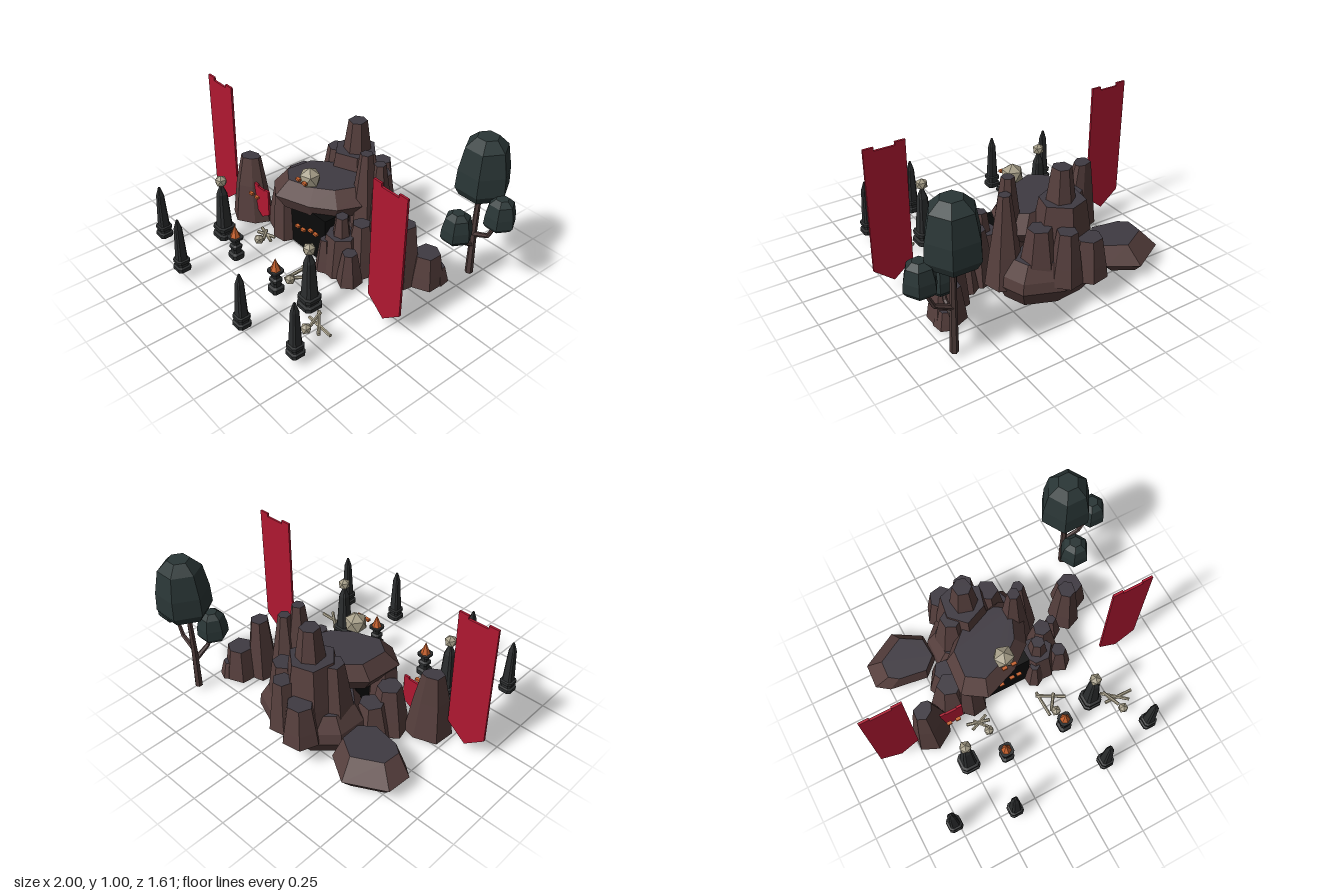
import * as THREE from 'three';

const paint = (color) => new THREE.MeshStandardMaterial({ color, flatShading: true });
const rock = paint(0x563f3d), rockTop = paint(0x3f3a42), rockBase = paint(0x6a6a6a), stone = paint(0x2b2d2e);
const bone = paint(0xa69e88), orange = paint(0xc8622e), red = paint(0xb01831), leaf = paint(0x2a3636);
const black = paint(0x0b0b0b), bark = paint(0x4c3a38);

let seed = 7;
const rand = () => (seed = (seed * 16807) % 2147483647) / 2147483647;

// Faceted solid: an outline [x, z] scaled at each level [y, scale, shiftX, shiftZ]; caps use their own material
function loft(outline, levels, sideMat, topMat = sideMat, bottomMat = sideMat) {
  const n = outline.length, pos = [], geo = new THREE.BufferGeometry();
  const rings = levels.map(([y, s, dx = 0, dz = 0]) => outline.map(([x, z]) => [x * s + dx, y, z * s + dz]));
  for (let l = 0; l < rings.length - 1; l++) {
    for (let i = 0; i < n; i++) {
      const j = (i + 1) % n, [a, b, c, d] = [rings[l][i], rings[l + 1][i], rings[l][j], rings[l + 1][j]];
      pos.push(...a, ...b, ...c, ...c, ...b, ...d);
    }
  }
  const sides = pos.length / 3, bottom = rings[0], top = rings[rings.length - 1];
  for (let i = 1; i < n - 1; i++) pos.push(...top[0], ...top[i + 1], ...top[i]);
  for (let i = 1; i < n - 1; i++) pos.push(...bottom[0], ...bottom[i], ...bottom[i + 1]);
  geo.setAttribute('position', new THREE.Float32BufferAttribute(pos, 3));
  geo.computeVertexNormals();
  geo.addGroup(0, sides, 0);
  geo.addGroup(sides, (n - 2) * 3, 1);
  geo.addGroup(sides + (n - 2) * 3, (n - 2) * 3, 2);
  return new THREE.Mesh(geo, [sideMat, topMat, bottomMat]);
}

// Slightly uneven polygon, or a regular one when wobble is 0
function ngon(n, rx, rz = rx, wobble = 0, turn = 0) {
  return Array.from({ length: n }, (_, i) => {
    const a = turn + ((i + (rand() - 0.5) * wobble * 2) / n) * Math.PI * 2, r = 1 - rand() * wobble;
    return [Math.cos(a) * rx * r, Math.sin(a) * rz * r];
  });
}

const chamferedSquare = (h, c = h * 0.35) => [
  [h, -h + c], [h, h - c], [h - c, h], [-h + c, h], [-h, h - c], [-h, -h + c], [-h + c, -h], [h - c, -h]];

export function createModel() {
  const model = new THREE.Group();
  const add = (mesh, name, x = 0, y = 0, z = 0, parent = model) => {
    mesh.name = name;
    mesh.position.set(x, y, z);
    parent.add(mesh);
    return mesh;
  };
  const rodBetween = (a, b, r0, r1, mat, name, parent) => {
    const from = new THREE.Vector3(...a), to = new THREE.Vector3(...b), dir = to.clone().sub(from);
    const rod = new THREE.Mesh(new THREE.CylinderGeometry(r1, r0, dir.length(), 6), mat);
    rod.quaternion.setFromUnitVectors(new THREE.Vector3(0, 1, 0), dir.normalize());
    const m = from.add(to).multiplyScalar(0.5);
    add(rod, name, m.x, m.y, m.z, parent);
  };
  const skull = (x, y, z, r, name, parent = model) => {
    const s = new THREE.Mesh(new THREE.IcosahedronGeometry(r, 0), bone);
    s.rotation.z = Math.atan(2 / (1 + Math.sqrt(5)));
    add(s, name, x, y, z, parent);
  };
  const eye = (x, y, z) => add(new THREE.Mesh(new THREE.BoxGeometry(0.032, 0.016, 0.02), orange), 'glowingEye', x, y, z);

  // Boulders: foundation, low rear boulder, and the overhanging roof of the cave
  add(loft(ngon(9, 0.37, 0.29, 0.06), [[0, 0.8, 0, 0.03], [0.13, 1], [0.2, 0.97], [0.3, 0.8]], rock, rockTop),
    'foundationBoulder', -0.07, 0, -0.37);
  const low = [[0.23, 0.08], [0.12, 0.18], [-0.13, 0.14], [-0.21, 0.08], [-0.2, -0.08], [0.04, -0.21], [0.22, -0.1]];
  add(loft(low, [[0.03, 0.7], [0.1, 1], [0.21, 0.72, 0.04, 0.04]], rock, rockTop), 'rearBoulder', -0.62, 0, -0.45);
  const roof = [[0.33, -0.2], [0.22, 0.06], [0.08, 0.17], [-0.15, 0.255], [-0.29, 0.16], [-0.27, -0.08], [-0.1, -0.24], [0.2, -0.28]];
  add(loft(roof, [[0.33, 0.8], [0.42, 1], [0.52, 0.74, -0.01, -0.02]], rock, rockTop), 'caveRoof', -0.1, 0, -0.12);

  // Rock columns: x, z, bottom, top, base radius, top radius
  const columns = [
    [-0.13, -0.43, 0.2, 0.615, 0.22, 0.15], [-0.12, -0.43, 0.55, 0.82, 0.1, 0.062],
    [0.14, -0.27, 0.1, 0.76, 0.13, 0.042], [0.2, -0.33, 0.1, 0.69, 0.13, 0.04],
    [-0.24, -0.37, 0.16, 0.6, 0.15, 0.07], [-0.2, -0.6, 0.16, 0.42, 0.13, 0.085],
    [-0.05, -0.59, 0.16, 0.5, 0.11, 0.065], [0.06, -0.48, 0.16, 0.5, 0.13, 0.075],
    [0.19, -0.04, 0.03, 0.3, 0.14, 0.1], [0.19, -0.04, 0.25, 0.43, 0.07, 0.045],
    [0.27, -0.13, 0.03, 0.38, 0.13, 0.06], [0.32, 0.01, 0.03, 0.25, 0.09, 0.05],
    [0.13, 0.04, 0.03, 0.26, 0.07, 0.035], [-0.42, -0.08, 0.03, 0.35, 0.14, 0.08],
    [-0.31, 0.0, 0.03, 0.4, 0.11, 0.085], [-0.39, -0.2, 0.03, 0.28, 0.14, 0.08],
    [0.52, -0.26, 0.03, 0.455, 0.11, 0.06], [0.61, -0.36, 0.03, 0.25, 0.12, 0.085],
    [0.38, -0.2, 0.03, 0.24, 0.075, 0.035], [0.65, -0.42, 0.03, 0.14, 0.08, 0.05],
  ];
  for (const [x, z, y0, y1, r0, r1] of columns) {
    const outline = ngon(6, 1, 1, 0.1, rand());
    const levels = [[y0, r0], [y0 + (y1 - y0) * 0.35, r0 * 0.68 + r1 * 0.32], [y1, r1]];
    add(loft(outline, levels, rock, rockTop, rockBase), 'rockColumn', x, 0, z);
  }
  const slab = [[0.13, -0.03], [0.09, 0.06], [-0.02, 0.13], [-0.13, 0.08], [-0.12, -0.06], [0.02, -0.11], [0.11, -0.09]];
  add(loft(slab, [[0.03, 1], [0.3, 0.73, -0.01], [0.495, 0.46, -0.02, -0.01]], rock, rockTop, rockBase), 'sideCrag', -0.62, 0, 0.05);

  // Dark cave mouth with pairs of eyes
  add(new THREE.Mesh(new THREE.BoxGeometry(0.34, 0.33, 0.2), black), 'caveMouth', -0.07, 0.195, -0.08);
  for (const [x, y] of [[-0.16, 0.185], [-0.105, 0.185], [-0.03, 0.222], [0.02, 0.222]]) eye(x, y, 0.03);

  // Large skull above the mouth
  skull(-0.07, 0.59, 0, 0.072, 'roofSkull');
  for (const x of [-0.1, -0.038]) eye(x, 0.592, 0.068);

  // Hanging banners with a notched top and pointed tip
  const cloth = (w, top, side, tip, notch) => {
    const h = w / 2, s = new THREE.Shape();
    [[-h, side], [0, tip], [h, side], [h, top], [h * 0.5, top], [h * 0.5, top - notch], [-h * 0.5, top - notch], [-h * 0.5, top], [-h, top]]
      .forEach(([x, y], i) => (i ? s.lineTo(x, y) : s.moveTo(x, y)));
    return new THREE.Mesh(new THREE.ExtrudeGeometry(s, { depth: 0.014, bevelEnabled: false }), red);
  };
  for (const x of [-0.87, 0.72]) add(cloth(0.26, 0.967, 0.165, 0.058, 0.022), 'banner', x, 0, 0.086);
  add(cloth(0.15, 0.335, 0.15, 0.1, 0.012), 'smallBanner', -0.485, 0, 0.065);
  for (const x of [-0.525, -0.465]) eye(x, 0.29, 0.13);

  // Obelisks on stepped plinths
  const obelisk = (x, z, w, h) => {
    const steps = [[0, 0.88], [0.02, 1], [0.085, 1], [0.1, 0.74], [0.16, 0.74], [0.165, 0.94], [0.22, 0.94], [0.23, 0.7], [0.84, 0.46], [1, 0.12]];
    add(loft(chamferedSquare(w / 2), steps.map(([t, s]) => [t * h, s]), stone), 'obelisk', x, 0.057, z);
  };
  for (const [x, z] of [[-0.775, 0.665], [-0.4, 0.76], [0.25, 0.76], [0.625, 0.665]]) obelisk(x, z, 0.092, 0.378);
  for (const x of [-0.52, 0.37]) {
    obelisk(x, 0.36, 0.126, 0.4);
    skull(x, 0.485, 0.36, 0.041, 'obeliskSkull');
  }

  // Braziers with flames
  for (const x of [-0.285, 0.135]) {
    const steps = [[0.057, 0.9], [0.065, 1], [0.095, 1], [0.105, 0.65], [0.13, 0.65], [0.14, 0.8], [0.155, 0.8], [0.165, 0.5], [0.2, 0.6], [0.207, 1], [0.222, 1]];
    add(loft(chamferedSquare(0.042), steps, stone), 'brazier', x, 0, 0.43);
    add(new THREE.Mesh(new THREE.ConeGeometry(0.034, 0.088, 6), orange), 'flame', x, 0.264, 0.43);
  }

  // Bone piles: skull position followed by the ends of each bone
  const piles = [
    [[-0.31, 0.235], [-0.42, 0.13, -0.27, 0.17], [-0.4, 0.18, -0.28, 0.13], [-0.37, 0.13, -0.3, 0.21]],
    [[0.135, 0.325], [0.085, 0.15, 0.09, 0.33], [0.07, 0.17, 0.24, 0.265], [0.18, 0.21, 0.11, 0.31]],
    [[0.53, 0.515], [0.45, 0.425, 0.645, 0.43], [0.45, 0.355, 0.6, 0.48], [0.47, 0.36, 0.52, 0.48]],
  ];
  for (const [[sx, sz], ...sticks] of piles) {
    const pile = add(new THREE.Group(), 'bonePile');
    skull(sx, 0.088, sz, 0.035, 'skull', pile);
    sticks.forEach(([x0, z0, x1, z1], i) => rodBetween([x0, 0.066 + i * 0.005, z0], [x1, 0.066 + i * 0.005, z1], 0.011, 0.011, bone, 'bone', pile));
  }

  // Tree: trunk, two bent branches and three faceted crowns
  const tree = add(new THREE.Group(), 'tree');
  rodBetween([0.725, 0.025, -0.64], [0.72, 0.32, -0.64], 0.026, 0.021, bark, 'trunk', tree);
  rodBetween([0.72, 0.31, -0.64], [0.72, 0.66, -0.65], 0.021, 0.015, bark, 'trunk', tree);
  for (const [a, b, c] of [
    [[0.72, 0.32, -0.64], [0.83, 0.37, -0.635], [0.9, 0.52, -0.63]],
    [[0.72, 0.24, -0.64], [0.715, 0.3, -0.54], [0.71, 0.38, -0.5]],
  ]) {
    rodBetween(a, b, 0.018, 0.014, bark, 'branch', tree);
    rodBetween(b, c, 0.014, 0.011, bark, 'branch', tree);
  }
  for (const [x, y, z, r, h] of [[0.72, 0.62, -0.66, 0.168, 0.38], [0.9, 0.49, -0.63, 0.098, 0.19], [0.71, 0.35, -0.49, 0.1, 0.19]]) {
    const crown = [[0, 0.82], [0.14, 1], [0.45, 0.96], [0.84, 0.78], [1, 0.4]].map(([t, s]) => [t * h, s]);
    add(loft(ngon(6, r), crown, leaf), 'crown', x, y, z, tree);
  }
  return model;
}
